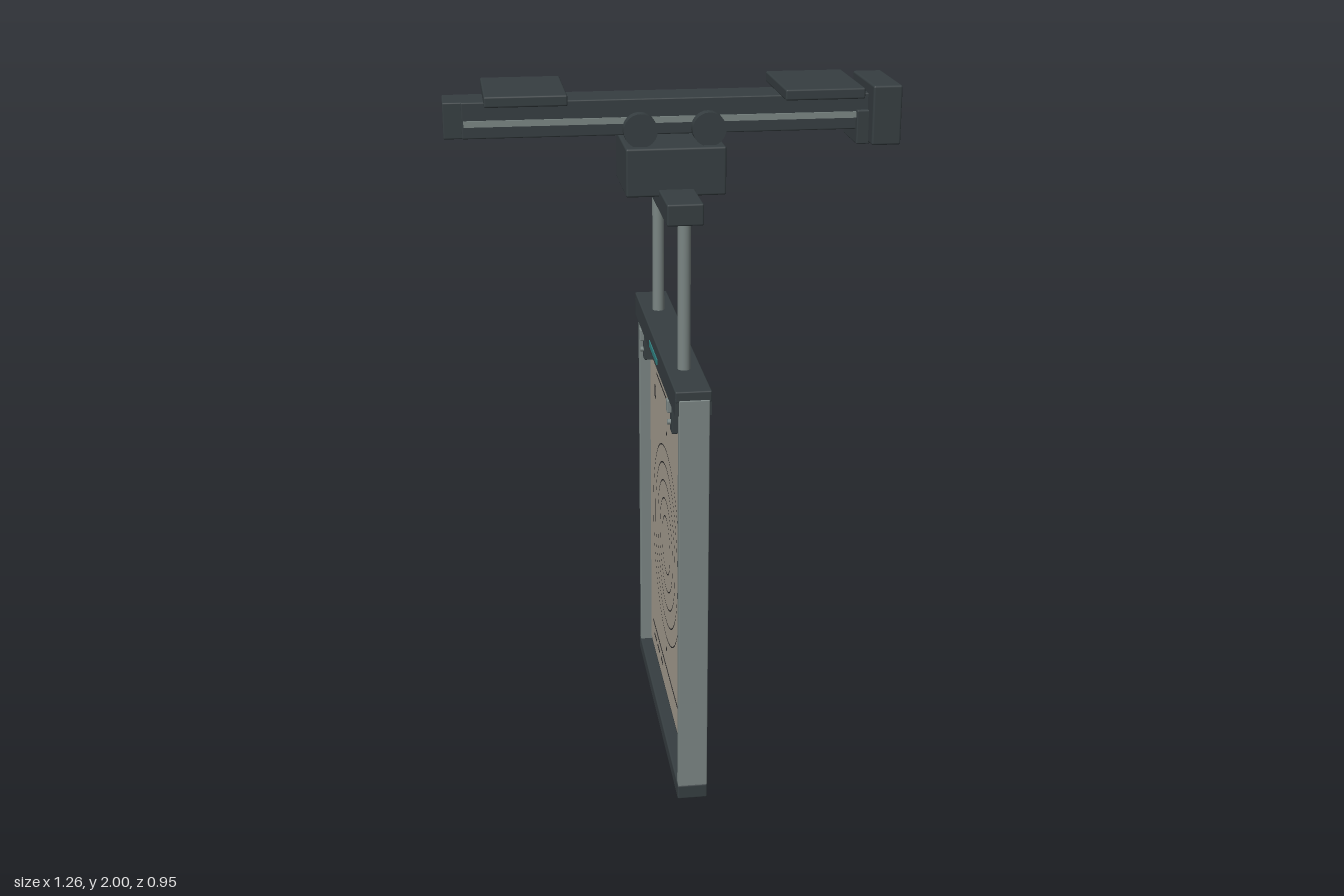
import * as THREE from 'three';
import { RoundedBoxGeometry } from 'three/addons/geometries/RoundedBoxGeometry.js';

const dark = new THREE.MeshStandardMaterial({ color: 0x363e41 });
const metal = new THREE.MeshStandardMaterial({ color: 0x7a8583 });
const paper = new THREE.MeshStandardMaterial({ color: 0xa8a093 });
const ink = new THREE.MeshStandardMaterial({ color: 0x2b2b2b });
const teal = new THREE.MeshStandardMaterial({ color: 0x2f8080 });

export function createModel() {
  const model = new THREE.Group();
  model.name = 'hangingTargetCarrier';

  const add = (name, geometry, material, x, y, z) => {
    const mesh = new THREE.Mesh(geometry, material);
    mesh.name = name;
    mesh.position.set(x, y, z);
    model.add(mesh);
    return mesh;
  };
  // Box given by its limits on each axis, with an optional softened edge
  const box = (name, material, [x0, x1], [y0, y1], [z0, z1], r = 0) => {
    const size = [x1 - x0, y1 - y0, z1 - z0];
    const geometry = r ? new RoundedBoxGeometry(...size, 2, r) : new THREE.BoxGeometry(...size);
    return add(name, geometry, material, (x0 + x1) / 2, (y0 + y1) / 2, (z0 + z1) / 2);
  };
  // Limits mirrored across z for a pair of parts
  const side = (s, a, b) => (s > 0 ? [a, b] : [-b, -a]);

  // Overhead rail with end cap, ceiling pads and drive box
  box('rail', dark, [-0.58, 0.55], [1.87, 1.97], [-0.065, 0.065], 0.004);
  box('railEndCap', dark, [-0.63, -0.57], [1.87, 1.97], [-0.063, 0.06], 0.004);
  box('ceilingPad', dark, [-0.52, -0.297], [1.97, 2.0], [-0.152, 0.152], 0.005);
  box('ceilingPad', dark, [0.295, 0.516], [1.97, 2.0], [-0.152, 0.152], 0.005);
  box('driveBox', dark, [0.545, 0.627], [1.835, 2.0], [-0.126, 0.126], 0.006);
  box('driveBracket', dark, [0.512, 0.55], [1.83, 1.925], [-0.08, 0.08], 0.004);

  // Trolley body and cross bar
  box('trolleyBody', dark, [-0.14, 0.138], [1.71, 1.845], [-0.132, 0.132], 0.006);
  box('crossBar', dark, [-0.05, 0.05], [1.67, 1.73], [-0.305, 0.305], 0.005);

  for (const s of [-1, 1]) {
    box('railStrip', metal, [-0.575, 0.54], [1.903, 1.92], side(s, 0.06, 0.071));

    // Trolley wheels on either side of the rail
    for (const x of [-0.096, 0.094]) {
      const wheel = new THREE.CylinderGeometry(0.047, 0.047, 0.034, 24).rotateX(Math.PI / 2);
      add('trolleyWheel', wheel, dark, x, 1.888, s * 0.089);
    }

    // Hanging rods and frame side posts
    add('hangingRod', new THREE.CylinderGeometry(0.018, 0.018, 0.44, 20), metal, 0, 1.46, s * 0.28);
    box('sidePost', metal, [-0.04, 0.044], [0.04, 1.235], side(s, 0.445, 0.472), 0.003);

    // Sheet clips with thumb levers
    box('clipPlate', dark, [-0.042, -0.014], [1.09, 1.2], side(s, 0.3, 0.34), 0.003);
    box('clipLever', metal, [-0.054, -0.04], [1.15, 1.187], side(s, 0.307, 0.333), 0.003);
    const pin = new THREE.CylinderGeometry(0.008, 0.008, 0.012, 12).rotateZ(Math.PI / 2);
    add('clipPin', pin, metal, -0.046, 1.12, s * 0.32);
  }

  // Frame header: cap, filler and skirts, then bottom rail
  box('headerCap', dark, [-0.05, 0.05], [1.228, 1.26], [-0.47, 0.47], 0.004);
  box('headerCore', dark, [-0.04, 0.044], [1.19, 1.24], [-0.446, 0.446]);
  box('headerSkirt', dark, [0.042, 0.05], [1.19, 1.24], [-0.468, 0.468]);
  box('headerSkirt', dark, [-0.05, -0.038], [1.19, 1.24], [-0.468, 0.468]);
  box('statusStrip', teal, [-0.053, -0.048], [1.207, 1.224], [-0.09, 0.09]);
  box('bottomRail', dark, [-0.042, 0.045], [0, 0.045], [-0.474, 0.474], 0.005);

  // Recessed backing board and paper sheet
  box('backingBoard', dark, [-0.004, 0.036], [0.035, 1.2], [-0.447, 0.447]);
  box('sheet', paper, [-0.012, -0.003], [0.085, 1.125], [-0.39, 0.39]);

  // Printed rings and rules on the sheet
  const mark = (name, y, z, h, w) =>
    box(name, ink, [-0.0135, -0.011], [y - h / 2, y + h / 2], [z - w / 2, z + w / 2]);
  for (const r of [0.31, 0.255, 0.2, 0.145, 0.09]) {
    const ring = new THREE.RingGeometry(r - 0.002, r + 0.002, 64).rotateY(-Math.PI / 2);
    add('printedRing', ring, ink, -0.0135, 0.595, 0);
  }
  mark('printedRule', 1.07, 0.02, 0.004, 0.5);
  mark('printedRule', 0.175, 0, 0.004, 0.66);
  for (const z of [-0.27, -0.19, -0.11]) mark('printedDash', 0.14, z, 0.006, 0.05);
  for (const y of [0.24, 0.96]) mark('printedDot', y, 0, 0.01, 0.01);
  for (const d of [-1, 1]) {
    mark('printedBoxEdge', 1.0 + d * 0.018, -0.26, 0.003, 0.03);
    mark('printedBoxEdge', 1.0, -0.26 + d * 0.014, 0.036, 0.003);
  }

  return model;
}
